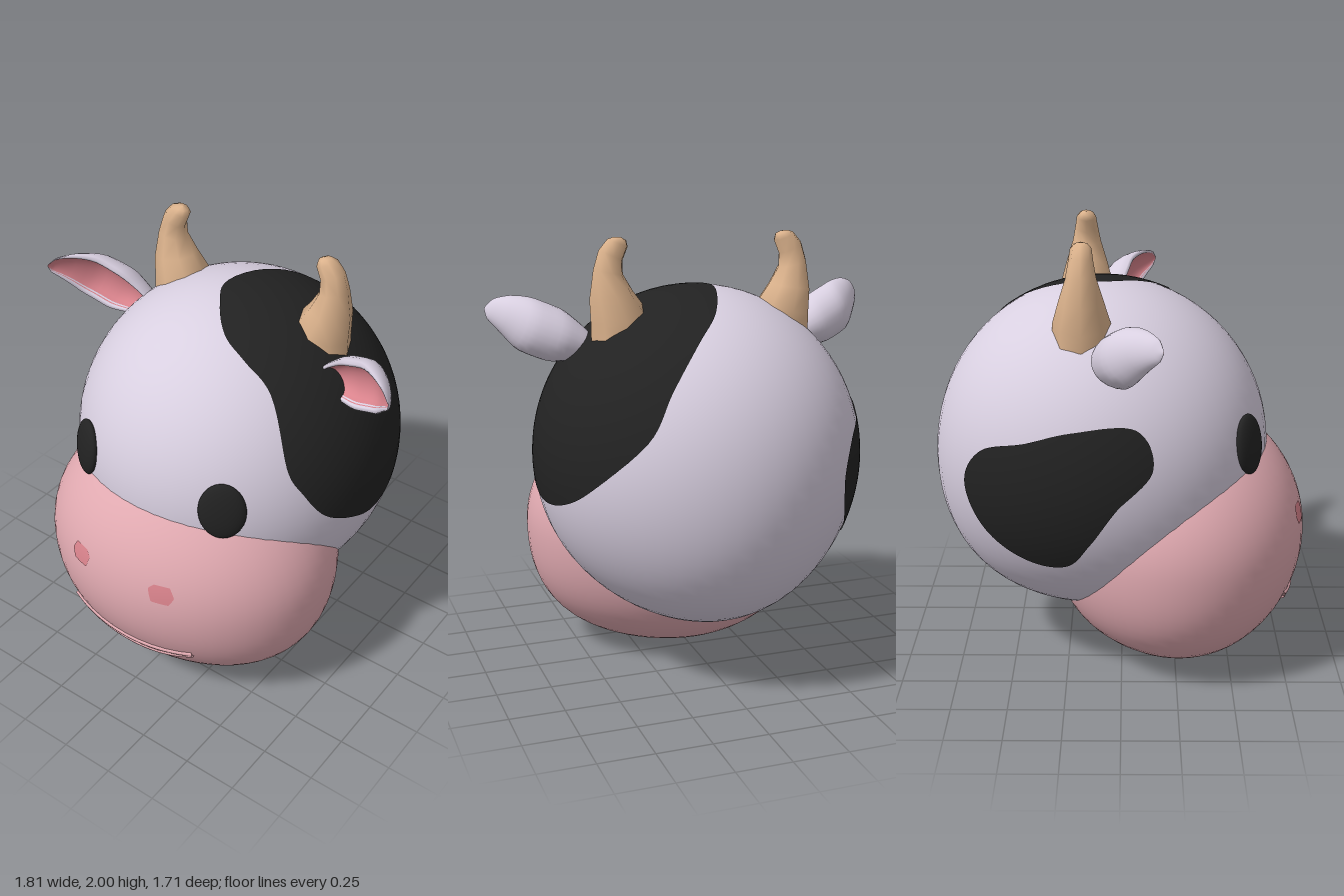
import * as THREE from 'three';
import { mergeVertices } from 'three/addons/utils/BufferGeometryUtils.js';

const V = (x, y, z) => new THREE.Vector3(x, y, z);
const mat = (name, color) => new THREE.MeshStandardMaterial({ name, color, side: THREE.DoubleSide });

// Rounded bodies: an ellipsoid with a soft bulge, and a fuller lower cheek
const HEAD = { c: V(0, 1, -0.09), r: V(0.745, 0.76, 0.76), dir: V(0, -0.69, -0.724), bulge: 0.065, cheek: 0 };
const MUZZLE = { c: V(0, 0.587, 0.27), r: V(0.712, 0.585, 0.585), dir: V(0, -0.65, -0.76), bulge: 0.09, cheek: 0.25 };

const dirOn = (b, p) => p.clone().sub(b.c).divide(b.r).normalize();
function pointOn(b, d, lift = 0) {
  const k = 1 + b.bulge * Math.max(0, d.dot(b.dir)) ** 6
    + (d.y < 0 ? b.cheek * d.x * d.x * d.y * d.y : 0) + lift;
  return d.clone().multiply(b.r).multiplyScalar(k).add(b.c);
}
// Point on the front of a body at a given x, y
function frontPoint(b, x, y, lift = 0) {
  const dx = (x - b.c.x) / b.r.x, dy = (y - b.c.y) / b.r.y;
  return pointOn(b, V(dx, dy, Math.sqrt(Math.max(0, 1 - dx * dx - dy * dy))), lift);
}

// Skin over rows of points
function skin(rows) {
  const n = rows[0].length, idx = [];
  for (let i = 0; i < rows.length - 1; i++) {
    for (let j = 0; j < n - 1; j++) {
      const a = i * n + j, b = a + n;
      idx.push(a, b, a + 1, b, b + 1, a + 1);
    }
  }
  let g = new THREE.BufferGeometry().setFromPoints(rows.flat());
  g.setIndex(idx);
  g = mergeVertices(g, 1e-5);
  g.computeVertexNormals();
  return g;
}

function bodyGeometry(b) {
  let g = new THREE.SphereGeometry(1, 56, 40);
  g.deleteAttribute('uv');
  g.deleteAttribute('normal');
  g = mergeVertices(g, 1e-5);
  const p = g.attributes.position;
  for (let i = 0; i < p.count; i++) {
    const q = pointOn(b, V().fromBufferAttribute(p, i).normalize());
    p.setXYZ(i, q.x, q.y, q.z);
  }
  g.computeVertexNormals();
  return g;
}

// Painted patch hugging a body inside a closed outline
function patch(b, outline, { tension = 0.5, lift = 0.005, rings = 14, steps = 96 } = {}) {
  const curve = new THREE.CatmullRomCurve3(outline.map(p => dirOn(b, V(...p))), true, 'catmullrom', tension);
  const edge = Array.from({ length: steps + 1 }, (_, i) => curve.getPoint((i % steps) / steps).normalize());
  const mid = edge.reduce((s, e) => s.add(e), V(0, 0, 0)).normalize();
  const rows = [];
  for (let k = 0; k <= rings; k++) {
    rows.push(edge.map(e => pointOn(b, mid.clone().lerp(e, k / rings).normalize(), lift)));
  }
  return skin(rows);
}

// Horn: eight-sided rings [x, y, radius, tilt]
function hornGeometry() {
  const rings = [[0.385, 1.58, 0.125, -0.25], [0.385, 1.65, 0.125, -0.25], [0.418, 1.75, 0.097, -0.15],
    [0.43, 1.85, 0.066, 0.2], [0.418, 1.92, 0.053, 0.45], [0.386, 1.972, 0.045, 0.4],
    [0.375, 1.99, 0.028, 0.3], [0.372, 1.996, 0.001, 0]];
  return skin(rings.map(([x, y, r, tilt]) => Array.from({ length: 9 }, (_, i) => {
    const a = (i % 8) / 8 * Math.PI * 2, dx = -Math.cos(a) * r;
    return V(x + dx, y + dx * tilt, -0.17 + Math.sin(a) * r);
  })));
}

// Ear: cupped sections along a curved axis, returned as shell and lining
function earGeometries() {
  const axis = new THREE.CatmullRomCurve3([V(0.49, 1.5, -0.02), V(0.55, 1.525, -0.01), V(0.64, 1.56, 0.015),
    V(0.745, 1.605, 0.045), V(0.83, 1.65, 0.105), V(0.885, 1.666, 0.15), V(0.906, 1.667, 0.168)]);
  const size = new THREE.CatmullRomCurve3([V(0.06, 0.09, 0), V(0.088, 0.11, 0), V(0.12, 0.135, 0),
    V(0.12, 0.125, 0), V(0.083, 0.085, 0), V(0.045, 0.04, 0), V(0.004, 0.004, 0)]);
  const shell = [], lining = [];
  for (let i = 0; i <= 24; i++) {
    const c = axis.getPoint(i / 24), { x: h, y: d } = size.getPoint(i / 24);
    const at = (a, b) => V(c.x - 0.35 * a * h, c.y + 0.937 * a * h, c.z + b * d);
    const arc = (w, deep) => Array.from({ length: 13 }, (_, j) => {
      const f = j / 12 * Math.PI;
      return at(Math.cos(f) * w, -Math.sin(f) * deep);
    });
    shell.push([at(0.74, -0.1), at(0.8, 0.06), at(0.92, 0.1), ...arc(1, 1),
      at(-0.92, 0.1), at(-0.8, 0.06), at(-0.74, -0.1)]);
    lining.push(arc(0.77, 0.5));
  }
  return { shell: skin(shell), lining: skin(lining) };
}

// Smiling mouth strip
function mouthGeometry() {
  const rows = [];
  for (let i = 0; i <= 32; i++) {
    const s = i / 16 - 1, x = s * 0.33;
    const low = 0.292 + 0.062 * s * s, high = 0.327 + 0.036 * s * s;
    rows.push([0, 0.33, 0.67, 1].map(t => frontPoint(MUZZLE, x, low + (high - low) * t, 0.006)));
  }
  return skin(rows);
}
function lipGeometry(y, rise) {
  const pts = Array.from({ length: 17 }, (_, i) => {
    const s = i / 8 - 1;
    return frontPoint(MUZZLE, s * 0.335, y + rise * s * s, 0);
  });
  return new THREE.TubeGeometry(new THREE.CatmullRomCurve3(pts), 48, 0.011, 8);
}

export function createModel() {
  const model = new THREE.Group();
  model.name = 'cowHead';
  const hide = mat('paleHide', 0xd8cfe0), pink = mat('muzzlePink', 0xe0a9b0), rose = mat('innerRose', 0xd9838c);
  const black = mat('black', 0x222222), horn = mat('hornTan', 0xdbb28c);
  const add = (name, geo, material) => {
    const m = new THREE.Mesh(geo, material);
    m.name = name;
    model.add(m);
    return m;
  };

  add('head', bodyGeometry(HEAD), hide);
  add('muzzle', bodyGeometry(MUZZLE), pink);

  // Hide patches
  add('leftPatch', patch(HEAD, [
    [-0.07, 1.755, -0.1], [0.02, 1.69, -0.4], [0.15, 1.59, -0.55], [0.3, 1.41, -0.65], [0.42, 1.21, -0.68],
    [0.627, 0.97, -0.5], [0.7, 0.87, -0.3], [0.73, 0.85, -0.1], [0.725, 0.9, 0.05], [0.68, 1, 0.22],
    [0.616, 1.15, 0.31], [0.55, 1.28, 0.34], [0.4, 1.54, 0.25], [0.25, 1.64, 0.23], [0.12, 1.7, 0.19],
    [0.0, 1.74, 0.06]]), black);
  add('rightPatch', patch(HEAD, [
    [-0.47, 0.97, -0.68], [-0.54, 1.13, -0.6], [-0.65, 1.2, -0.405], [-0.69, 1.26, -0.206], [-0.68, 1.27, 0.06],
    [-0.7, 1.1, 0.13], [-0.74, 0.935, -0.02], [-0.71, 0.77, -0.13], [-0.64, 0.64, -0.235], [-0.58, 0.645, -0.41],
    [-0.51, 0.77, -0.6]]), black);

  // Mouth with raised lips
  add('mouth', mouthGeometry(), rose);
  add('upperLip', lipGeometry(0.335, 0.03), pink);
  add('lowerLip', lipGeometry(0.285, 0.07), pink);

  // Paired parts
  const ear = earGeometries(), hornGeo = hornGeometry(), eyeGeo = new THREE.SphereGeometry(1, 28, 20);
  for (const [side, s] of [['left', 1], ['right', -1]]) {
    add(side + 'Horn', hornGeo, horn).scale.x = s;
    add(side + 'Ear', ear.shell, hide).scale.x = s;
    add(side + 'EarLining', ear.lining, rose).scale.x = s;

    const p = frontPoint(HEAD, s * 0.375, 1.105);
    const eye = add(side + 'Eye', eyeGeo, black);
    eye.position.copy(p);
    eye.lookAt(p.clone().add(dirOn(HEAD, p)));
    eye.scale.set(0.105, 0.135, 0.035);

    const outline = [[0.165, 0.74], [0.19, 0.765], [0.26, 0.765], [0.285, 0.72], [0.265, 0.68], [0.185, 0.68]]
      .map(([x, y]) => frontPoint(MUZZLE, s * x, y).toArray());
    add(side + 'Nostril', patch(MUZZLE, outline, { tension: 0.1, rings: 3, steps: 36 }), rose);
  }
  return model;
}
